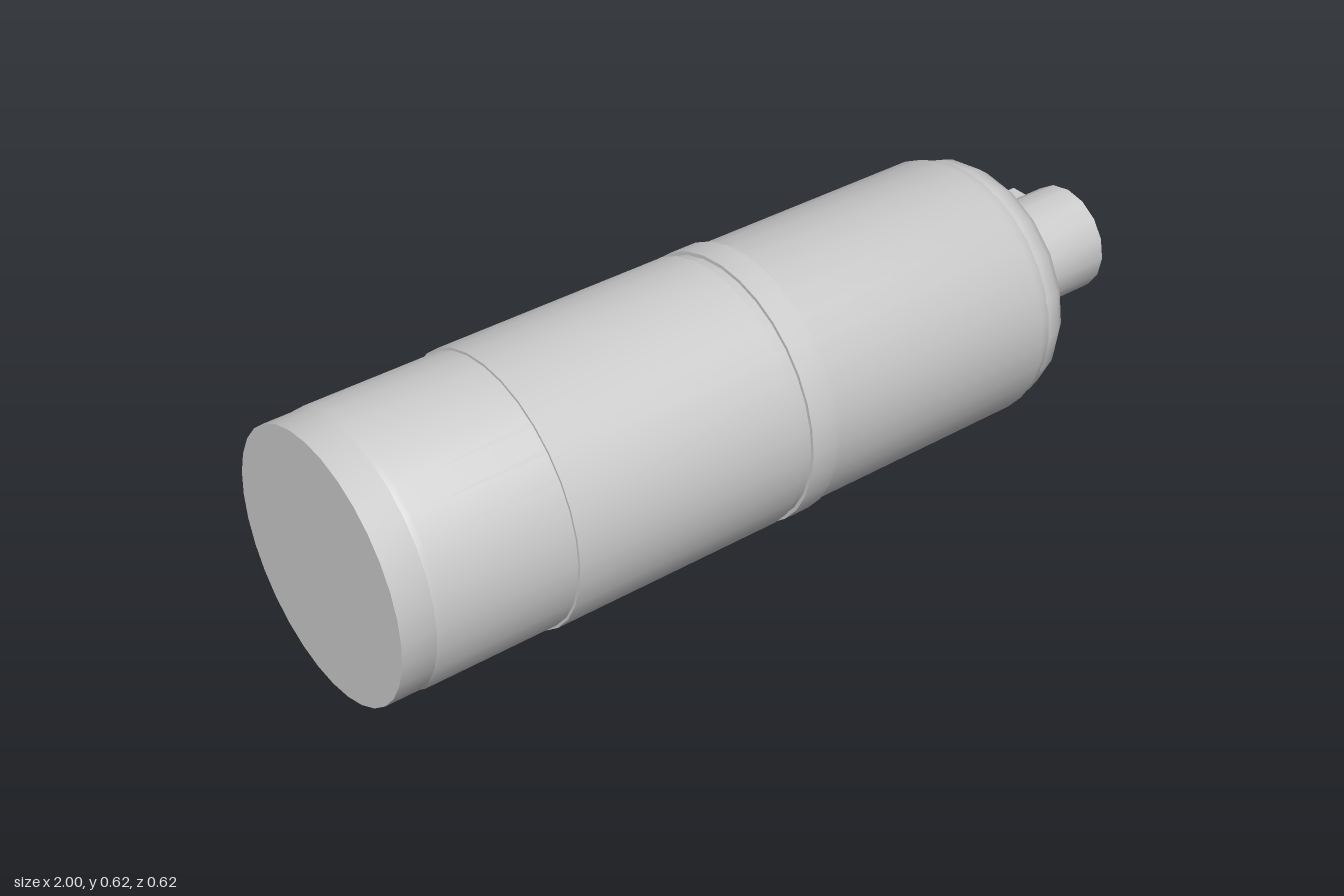
import * as THREE from 'three';
import { toCreasedNormals } from 'three/addons/utils/BufferGeometryUtils.js';

const AXIS_Y = 0.31;

export function createModel() {
  const group = new THREE.Group();
  const metal = new THREE.MeshStandardMaterial({ color: 0xcccccc });
  metal.name = 'light grey metal';

  const add = (name, geometry) => {
    const mesh = new THREE.Mesh(geometry, metal);
    mesh.name = name;
    group.add(mesh);
  };

  // Turned part along x: profile of [x, radius] pairs, closed at both ends
  const turned = (name, profile, sides) => {
    const first = profile[0][0];
    const last = profile[profile.length - 1][0];
    const points = [[first, 0], ...profile, [last, 0]]
      .map(([x, r]) => new THREE.Vector2(r, x));
    const geometry = new THREE.LatheGeometry(points, sides);
    geometry.rotateZ(-Math.PI / 2);
    geometry.translate(0, AXIS_Y, 0);
    add(name, toCreasedNormals(geometry, 0.6));
  };

  // Main housing: slightly narrower rear end, chamfered front edge
  turned('rearCap', [[-1, 0.298], [-0.92, 0.298]], 32);
  turned('housing', [[-0.93, 0.296], [-0.91, 0.301], [0.64, 0.301], [0.67, 0.29]], 32);

  // Raised bands around the housing
  turned('sleeve', [[-0.6, 0.307], [-0.04, 0.307]], 32);
  turned('ring', [[-0.015, 0.309], [0.05, 0.309]], 32);

  // Rounded nose
  turned('nose', [
    [0.66, 0.29], [0.68, 0.29], [0.71, 0.281], [0.735, 0.262], [0.76, 0.228],
    [0.78, 0.187], [0.793, 0.145], [0.8, 0.11],
  ], 20);

  // Output shaft with its key on the back side
  turned('shaft', [[0.78, 0.125], [1, 0.125]], 16);
  const key = new THREE.BoxGeometry(0.1, 0.1, 0.075);
  key.translate(0.95, AXIS_Y, -0.1375);
  add('shaftKey', key);

  return group;
}
